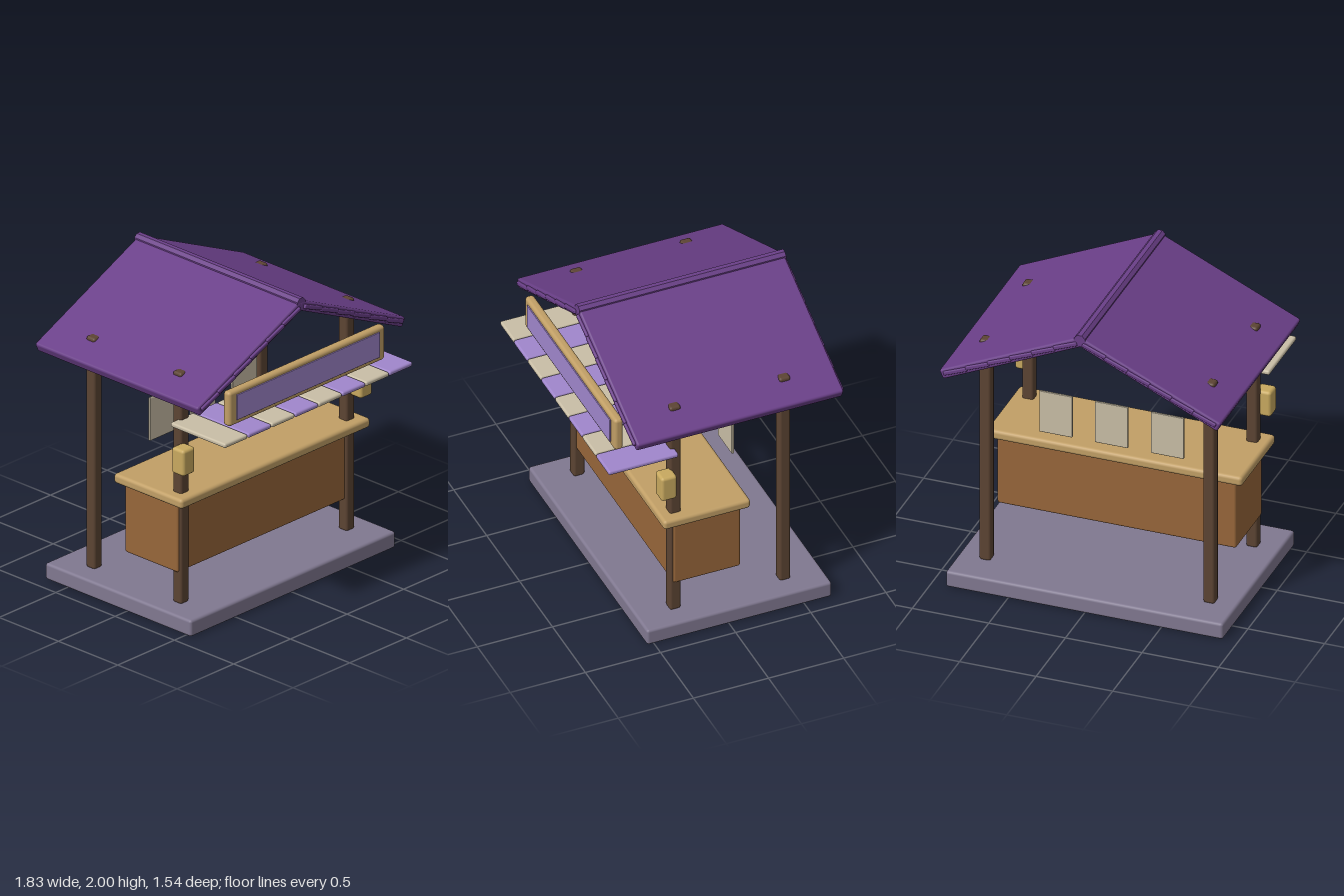
import * as THREE from 'three';
import { RoundedBoxGeometry } from 'three/addons/geometries/RoundedBoxGeometry.js';

const mat = (name, color) => {
  const m = new THREE.MeshStandardMaterial({ color });
  m.name = name;
  return m;
};

export function createModel() {
  const stall = new THREE.Group();
  stall.name = 'marketStall';

  const stone = mat('stone', 0x807890);
  const darkWood = mat('darkWood', 0x5c4433);
  const brownWood = mat('brownWood', 0x97663a);
  const paleWood = mat('paleWood', 0xc19f66);
  const brass = mat('brass', 0xc8a95f);
  const cream = mat('cream', 0xc9bea6);
  const lilac = mat('lilac', 0xa086cc);
  const purple = mat('purple', 0x6a3f88);

  // Bevelled box given by its extents on each axis
  const block = (name, material, [x0, x1], [y0, y1], [z0, z1], r, parent = stall) => {
    const geo = new RoundedBoxGeometry(x1 - x0, y1 - y0, z1 - z0, 2, r);
    const mesh = new THREE.Mesh(geo, material);
    mesh.name = name;
    mesh.position.set((x0 + x1) / 2, (y0 + y1) / 2, (z0 + z1) / 2);
    parent.add(mesh);
    return mesh;
  };
  const around = (c, size) => [c - size / 2, c + size / 2];

  // Floor slab and counter
  block('base', stone, [-0.905, 0.905], [0, 0.11], [-0.683, 0.547], 0.018);
  block('counterBody', brownWood, [-0.78, 0.78], [0.318, 0.788], [-0.13, 0.317], 0.015);
  block('counterTop', paleWood, [-0.835, 0.835], [0.785, 0.85], [-0.175, 0.403], 0.022);

  // Four posts poking just through the roof, with lanterns on the front pair
  for (const side of [-1, 1]) {
    for (const z of [0.297, -0.433]) {
      block('post', darkWood, around(side * 0.731, 0.074), [0.105, 1.657], around(z, 0.074), 0.016);
    }
    block('lantern', brass, around(side * 0.783, 0.107), [1.01, 1.185], [0.315, 0.42], 0.02);
  }

  // Hanging cards behind the counter
  for (const x of [-0.366, -0.002, 0.362]) {
    block('hangingCard', cream, around(x, 0.216), [0.935, 1.223], [-0.222, -0.206], 0.005);
  }

  // Awning of alternating flat tiles
  for (let i = 0; i < 8; i++) {
    block('awningTile', i % 2 ? lilac : cream, around(-0.731 + i * 0.208, 0.203), [1.313, 1.344], [0.302, 0.767], 0.013);
  }

  // Sign board with a coloured panel
  block('signFrame', paleWood, [-0.688, 0.688], [1.375, 1.607], [0.608, 0.667], 0.022);
  block('signPanel', lilac, [-0.63, 0.63], [1.41, 1.579], [0.668, 0.677], 0.003);

  // Two roof slopes, each hinged at the ridge
  const pitch = 0.43;
  for (const side of [-1, 1]) {
    const slope = new THREE.Group();
    slope.name = side < 0 ? 'rightRoofSlope' : 'leftRoofSlope';
    slope.position.y = 1.95;
    slope.rotation.z = -side * pitch;
    const span = (a, b) => side > 0 ? [a, b] : [-b, -a];
    block('roofPanel', purple, span(-0.012, 0.998), [-0.033, 0.033], [-0.757, 0.617], 0.015, slope);
    // Overlapping courses that show as a stepped trim at the gable edges
    for (let i = 0; i < 6; i++) {
      const start = 0.02 + i * 0.158;
      const course = block('roofCourse', purple, span(start, start + 0.165), [-0.012, 0.016], [-0.768, 0.632], 0.008, slope);
      course.rotation.z = side * 0.05;
    }
    stall.add(slope);
  }

  // Ridge cap
  const ridgeGeo = new THREE.CylinderGeometry(0.038, 0.038, 1.375, 8);
  ridgeGeo.rotateY(Math.PI / 8);
  ridgeGeo.rotateX(Math.PI / 2);
  const ridge = new THREE.Mesh(ridgeGeo.toNonIndexed(), purple);
  ridge.geometry.computeVertexNormals();
  ridge.name = 'ridgeCap';
  ridge.position.set(0, 1.965, -0.072);
  stall.add(ridge);

  return stall;
}
